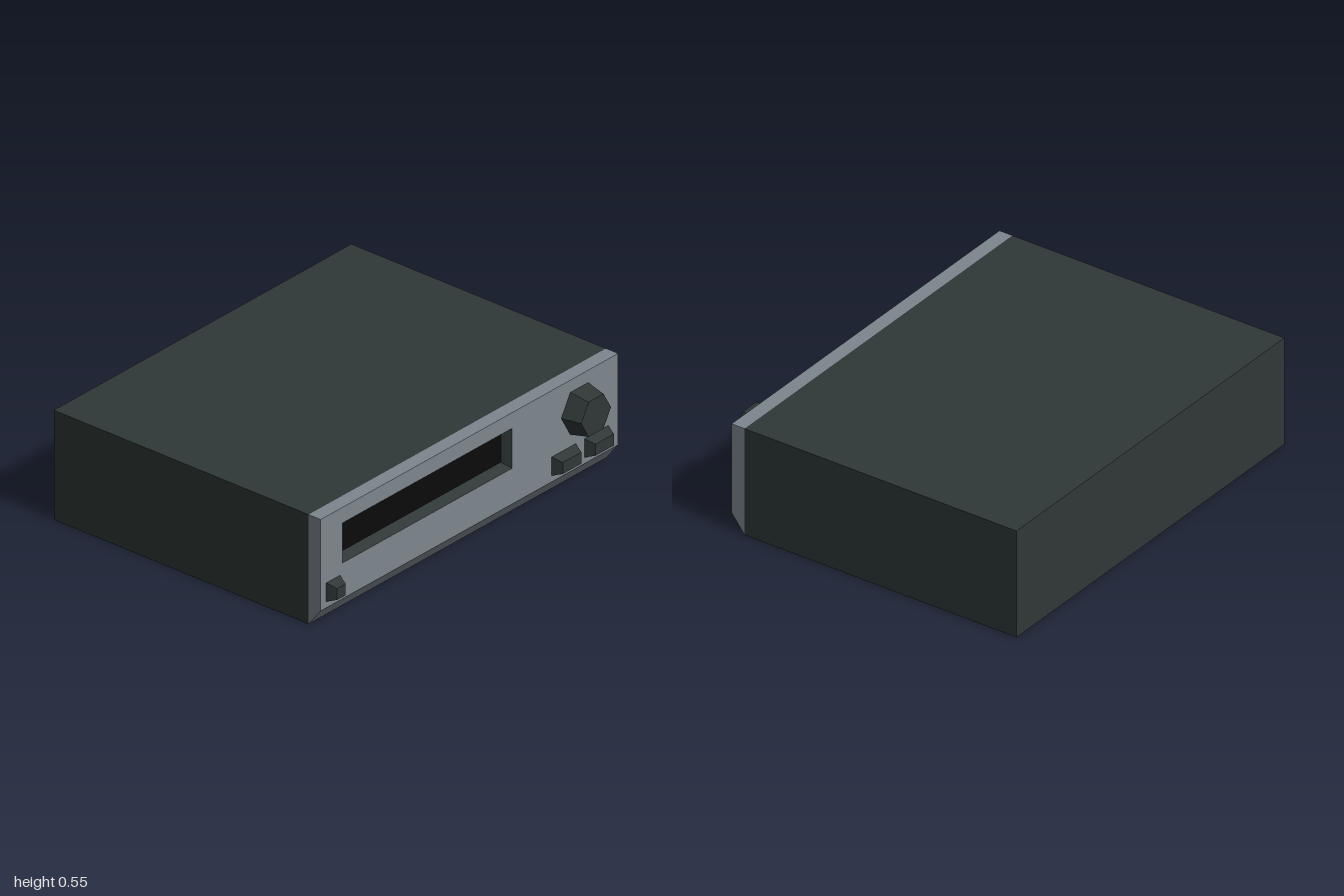
import * as THREE from 'three';

const FRONT = 0.72, JOIN = 0.65, TOP = 0.545, CHAMFER = 0.09;

function flat(geometry) {
  const g = geometry.index ? geometry.toNonIndexed() : geometry;
  g.computeVertexNormals();
  return g;
}

// Rectangle corners, counter-clockwise seen from the front
function corners([x0, x1, y0, y1], inset, z) {
  return [
    [x0 + inset, y0 + inset, z], [x1 - inset, y0 + inset, z],
    [x1 - inset, y1 - inset, z], [x0 + inset, y1 - inset, z],
  ];
}

// Four sloping walls from a rectangle at z0 to an inset one at z1, optionally capped
function slopedFrame(rect, inset, z0, z1, cap) {
  const a = corners(rect, 0, z0), b = corners(rect, inset, z1), p = [];
  for (let i = 0; i < 4; i++) {
    const j = (i + 1) % 4;
    p.push(...a[i], ...a[j], ...b[j], ...a[i], ...b[j], ...b[i]);
  }
  if (cap) p.push(...b[0], ...b[1], ...b[2], ...b[0], ...b[2], ...b[3]);
  const g = new THREE.BufferGeometry();
  g.setAttribute('position', new THREE.Float32BufferAttribute(p, 3));
  g.computeVertexNormals();
  return g;
}

export function createModel() {
  const group = new THREE.Group();
  const material = (name, color) => {
    const m = new THREE.MeshStandardMaterial({ color });
    m.name = name;
    return m;
  };
  const casing = material('dark casing', 0x2f3837);
  const grey = material('panel grey', 0x7e878e);
  const black = material('screen black', 0x0a0a0a);
  const add = (name, geometry, mat) => {
    const mesh = new THREE.Mesh(geometry, mat);
    mesh.name = name;
    group.add(mesh);
    return mesh;
  };

  // Main case
  const body = add('case', new THREE.BoxGeometry(2, TOP, JOIN + 0.817), casing);
  body.position.set(0, TOP / 2, (JOIN - 0.817) / 2);

  // Front panel with the display opening
  const opening = [-0.853, 0.287, 0.268, 0.467];
  const panel = new THREE.Shape([
    new THREE.Vector2(-1, CHAMFER), new THREE.Vector2(1, CHAMFER),
    new THREE.Vector2(1, TOP), new THREE.Vector2(-1, TOP),
  ]);
  panel.holes.push(new THREE.Path(
    corners(opening, 0, 0).reverse().map(([x, y]) => new THREE.Vector2(x, y))));
  const panelGeometry = new THREE.ExtrudeGeometry(panel, { depth: FRONT - JOIN, bevelEnabled: false });
  add('frontPanel', panelGeometry, grey).position.z = JOIN;

  // Sloping lower edge of the panel, a triangle swept across the width
  const wedge = new THREE.Shape([
    new THREE.Vector2(-JOIN, 0), new THREE.Vector2(-JOIN, CHAMFER), new THREE.Vector2(-FRONT, CHAMFER),
  ]);
  const wedgeGeometry = new THREE.ExtrudeGeometry(wedge, { depth: 2, bevelEnabled: false });
  wedgeGeometry.rotateY(Math.PI / 2).translate(-1, 0, 0);
  add('panelLowerEdge', wedgeGeometry, grey);

  // Recessed display
  const depth = 0.045, inset = 0.024;
  add('displaySurround', slopedFrame(opening, inset, FRONT, FRONT - depth, false), casing);
  const [x0, x1, y0, y1] = opening;
  const screen = add('display',
    new THREE.PlaneGeometry(x1 - x0 - 2 * inset, y1 - y0 - 2 * inset), black);
  screen.position.set((x0 + x1) / 2, (y0 + y1) / 2, FRONT - depth);

  // Push buttons
  const buttons = {
    powerButton: [-0.963, -0.87], innerButton: [0.553, 0.714], outerButton: [0.773, 0.933],
  };
  for (const [name, [left, right]] of Object.entries(buttons)) {
    add(name, slopedFrame([left, right, 0.121, 0.214], 0.018, FRONT, 0.768, true), casing);
  }

  // Six-sided tapered knob
  const knob = new THREE.CylinderGeometry(0.1, 0.121, 0.097, 6, 1, false, Math.PI / 2);
  knob.rotateX(Math.PI / 2);
  add('knob', flat(knob), casing).position.set(0.738, 0.379, FRONT + 0.0485);

  return group;
}
